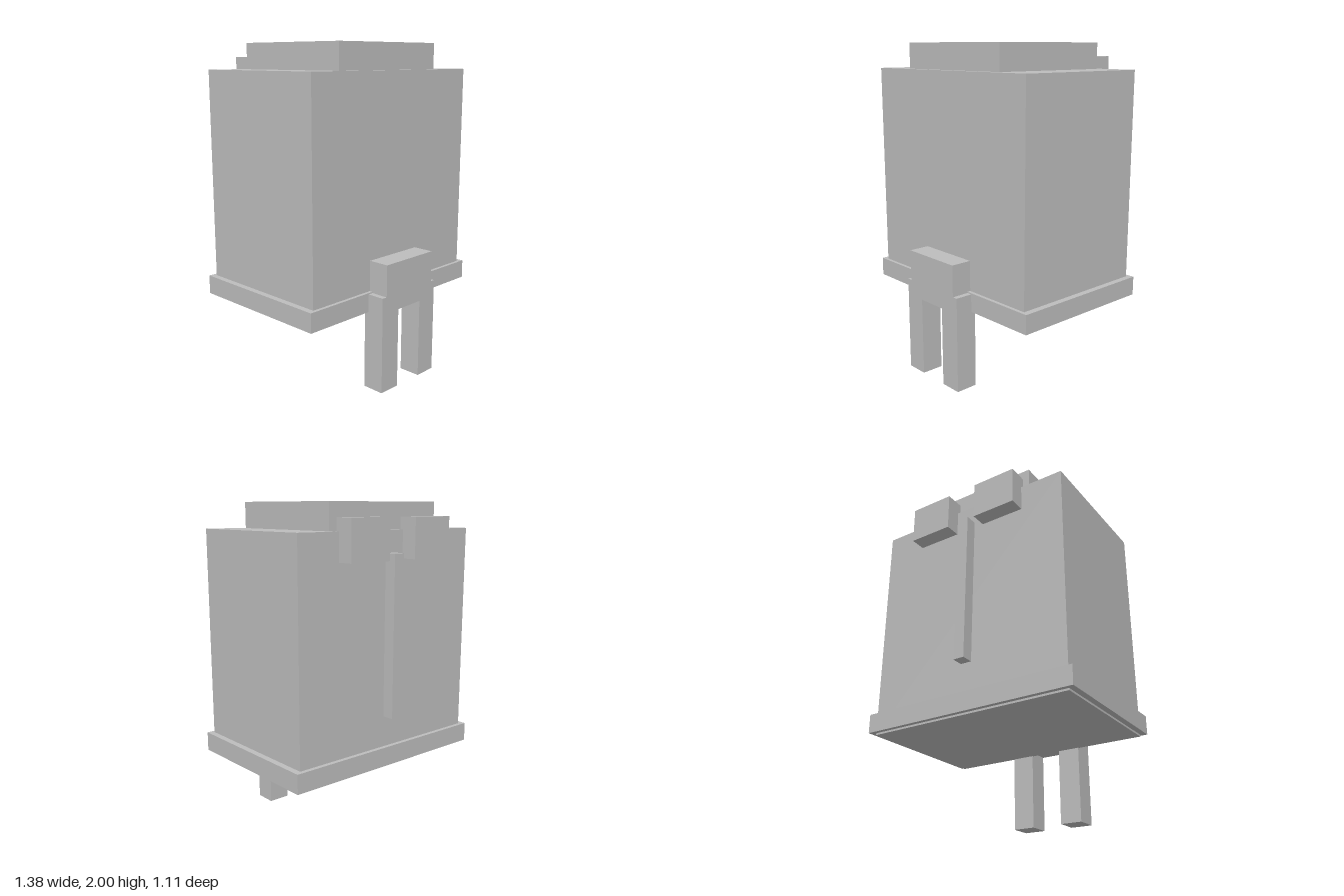
import * as THREE from 'three';

export function createModel() {
  const model = new THREE.Group();
  model.name = 'boxFigure';

  const grey = new THREE.MeshStandardMaterial({ color: 0xbcbcbc });
  grey.name = 'grey';

  // Box given by its limits on each axis
  function addBox(name, [x0, x1], [y0, y1], [z0, z1]) {
    const mesh = new THREE.Mesh(new THREE.BoxGeometry(x1 - x0, y1 - y0, z1 - z0), grey);
    mesh.position.set((x0 + x1) / 2, (y0 + y1) / 2, (z0 + z1) / 2);
    mesh.name = name;
    model.add(mesh);
  }

  // Main case with its base rim and raised lid
  addBox('body', [-0.653, 0.653], [0.46, 1.845], [-0.458, 0.425]);
  addBox('baseRim', [-0.69, 0.69], [0.472, 0.587], [-0.484, 0.446]);
  addBox('lid', [-0.406, 0.406], [1.84, 2], [-0.411, 0.377]);

  // Bracket on the front that carries the legs
  addBox('legBracket', [-0.204, 0.204], [0.482, 0.77], [0.418, 0.555]);

  // Narrow vertical bar on the back
  addBox('backBar', [-0.035, 0.035], [0.772, 1.72], [-0.531, -0.45]);

  // Paired legs and back blocks
  for (const [side, s] of [['left', 1], ['right', -1]]) {
    const span = (a, b) => (s > 0 ? [a, b] : [-b, -a]);
    addBox(side + 'Leg', span(0.098, 0.237), [0, 0.58], [0.418, 0.554]);
    addBox(side + 'BackBlock', span(0.098, 0.379), [1.684, 1.918], [-0.555, -0.437]);
  }

  return model;
}
